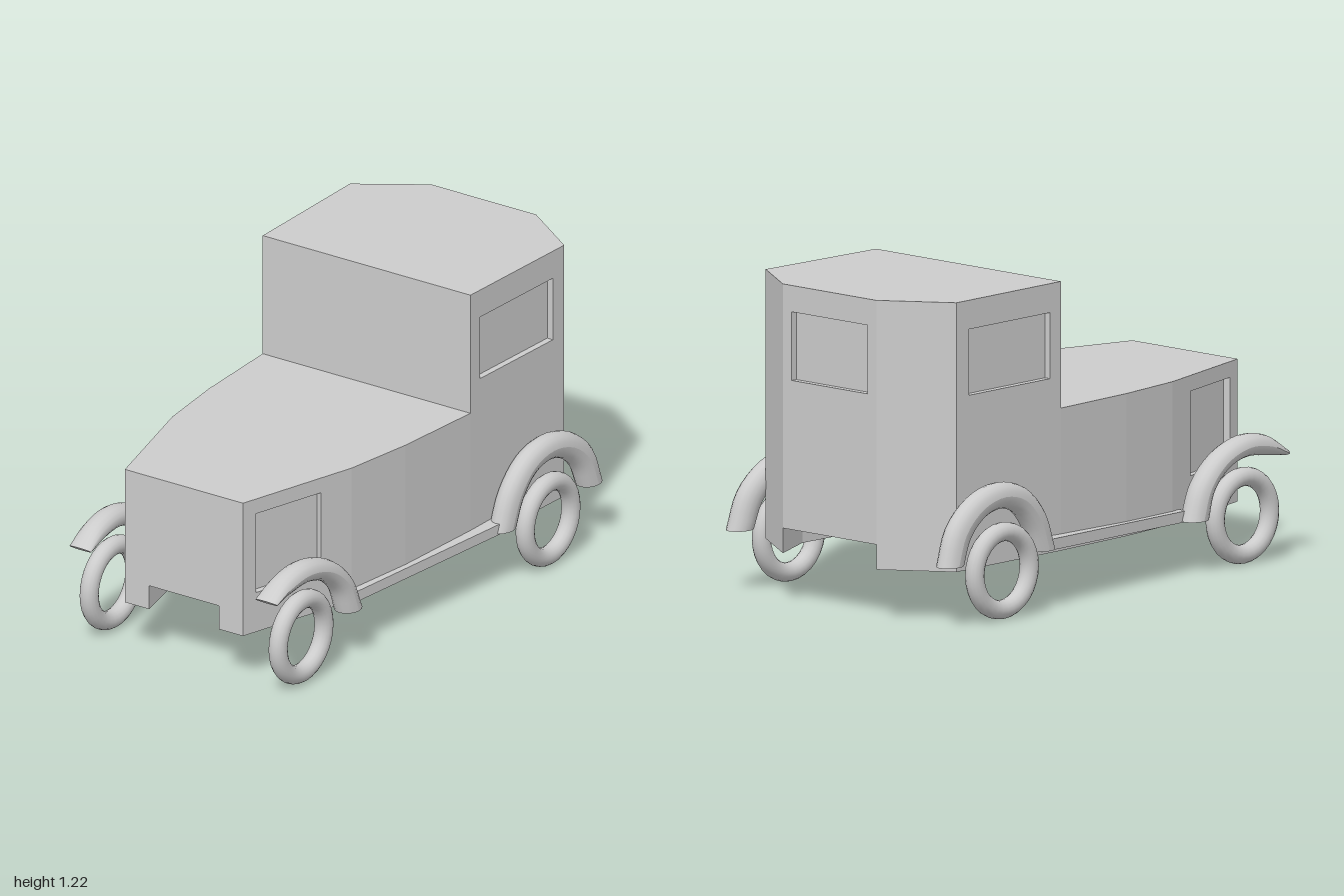
import * as THREE from 'three';

const grey = new THREE.MeshStandardMaterial({ color: 0xcccccc });
const FLOOR = 0.2, TUNNEL = 0.295, HOOD = 0.74, ROOF = 1.22;

// Half outline of the body in plan [x, z], front to back
const half = [[0.27, 0.92], [0.41, 0.42], [0.45, 0.13], [0.475, -0.25], [0.49, -0.83], [0.24, -1]];
// Inner edge of the skirts under the floor
const inner = [[0.16, 0.92], [0.28, 0.42], [0.32, 0.13], [0.33, -0.25], [0.33, -0.8], [0.24, -1]];

const mirror = (pts) => pts.map(([x, z]) => [-x, z]).reverse();
const ring = (pts) => [...pts, ...mirror(pts)];
const shapeOf = (pts) => new THREE.Shape(pts.map(([x, y]) => new THREE.Vector2(x, y)));

function add(parent, name, geometry) {
  const mesh = new THREE.Mesh(geometry, grey);
  mesh.name = name;
  parent.add(mesh);
  return mesh;
}

// Horizontal plate from plan points, facing up or down
function plate(parent, name, pts, y, up) {
  const geo = new THREE.ShapeGeometry(shapeOf(pts.map(([x, z]) => [x, up ? -z : z])));
  geo.rotateX(up ? -Math.PI / 2 : Math.PI / 2);
  add(parent, name, geo).position.y = y;
}

// Upright panel from plan point a to b (left to right seen from outside),
// with an optional recessed window [u0, u1, y0, y1]
function panel(parent, name, a, b, outline, win) {
  const g = new THREE.Group();
  g.name = name;
  g.position.set(a[0], 0, a[1]);
  g.rotation.y = Math.atan2(-(b[1] - a[1]), b[0] - a[0]);
  parent.add(g);
  const shape = shapeOf(outline);
  if (win) {
    const [u0, u1, y0, y1] = win, depth = 0.026;
    shape.holes.push(new THREE.Path([[u0, y0], [u0, y1], [u1, y1], [u1, y0]].map((p) => new THREE.Vector2(...p))));
    // Inside-out box without its outer face
    const box = new THREE.BoxGeometry(u1 - u0, y1 - y0, depth);
    box.setIndex([...box.index.array].filter((v, i) => i < 24 || i >= 30));
    box.scale(-1, 1, 1);
    box.computeVertexNormals();
    box.translate((u0 + u1) / 2, (y0 + y1) / 2, -depth / 2);
    add(g, 'windowRecess', box);
  }
  add(g, name + 'Skin', new THREE.ShapeGeometry(shape));
}

const rect = (w, y0, y1) => [[0, y0], [w, y0], [w, y1], [0, y1]];

function createBody() {
  const body = new THREE.Group();
  body.name = 'body';
  const pts = ring(half), n = pts.length;
  // Side panels all the way round; index 5 is the rear panel
  for (let i = 0; i < n - 1; i++) {
    const a = pts[i], b = pts[i + 1];
    const w = Math.hypot(b[0] - a[0], b[1] - a[1]);
    const k = i < 5 ? i : 10 - i;
    const flip = i > 5;
    let win = null;
    if (k === 0) win = [0.063, 0.374, 0.36, 0.68];
    if (k === 3) win = [0.06, 0.51, 0.86, 1.11];
    if (k === 5) win = [0.045, w - 0.045, 0.86, 1.12];
    if (win && flip) win = [w - win[1], w - win[0], win[2], win[3]];
    const name = k === 5 ? 'rearPanel' : k < 3 ? 'hoodSide' : 'cabinSide';
    panel(body, name, a, b, rect(w, k === 5 ? TUNNEL : FLOOR, k < 3 ? HOOD : ROOF), win);
  }
  // Front panel with a notch below
  panel(body, 'frontPanel', [-0.27, 0.92], [0.27, 0.92],
    [[0, FLOOR], [0.11, FLOOR], [0.11, TUNNEL], [0.43, TUNNEL], [0.43, FLOOR], [0.54, FLOOR], [0.54, HOOD], [0, HOOD]]);
  panel(body, 'cabinFront', [-0.475, -0.25], [0.475, -0.25], rect(0.95, HOOD, ROOF));
  plate(body, 'hoodTop', ring(half.slice(0, 4)), HOOD, true);
  plate(body, 'roof', ring(half.slice(3)), ROOF, true);
  plate(body, 'tunnelCeiling', ring(inner), TUNNEL, false);
  // Skirt undersides and inner walls
  const skirt = [...half, ...[...inner].reverse().slice(1)];
  plate(body, 'skirtBottom', skirt, FLOOR, false);
  plate(body, 'skirtBottom', mirror(skirt), FLOOR, false);
  for (const edge of [[...inner].reverse(), inner.map(([x, z]) => [-x, z])])
    for (let i = 0; i < edge.length - 1; i++) {
      const a = edge[i], b = edge[i + 1];
      panel(body, 'skirtInnerWall', a, b, rect(Math.hypot(b[0] - a[0], b[1] - a[1]), FLOOR, TUNNEL));
    }
  return body;
}

// Solid mudguard: oval sections spanning an outer and an inner [z, y] curve
function fenderGeometry(outer, under, x0, x1, halfWidth) {
  const curve = (pts) => new THREE.CatmullRomCurve3(pts.map(([z, y]) => new THREE.Vector3(0, y, z)));
  const co = curve(outer), ci = curve(under), rows = 24, sides = 16;
  const stations = [[0, 0], [0, 1]];
  for (let i = 0; i <= rows; i++) stations.push([i / rows, 1]);
  stations.push([1, 1], [1, 0]);
  const pos = [], idx = [];
  stations.forEach(([t, s], r) => {
    const o = co.getPoint(t), q = ci.getPoint(t);
    const c = o.clone().add(q).multiplyScalar(0.5), d = o.sub(q).multiplyScalar(0.5);
    for (let j = 0; j <= sides; j++) {
      const a = (j / sides) * Math.PI * 2, sn = Math.sin(a) * s;
      pos.push(x0 + (x1 - x0) * t + Math.cos(a) * halfWidth * s, c.y + d.y * sn, c.z + d.z * sn);
      // Rows 1-2 and the matching pair at the end coincide, keeping the cap edges sharp
      if (j < sides && r < stations.length - 1 && r !== 1 && r !== stations.length - 3) {
        const p = r * (sides + 1) + j, m = p + sides + 1;
        idx.push(p, m, p + 1, p + 1, m, m + 1);
      }
    }
  });
  const geo = new THREE.BufferGeometry();
  geo.setAttribute('position', new THREE.Float32BufferAttribute(pos, 3));
  geo.setIndex(idx);
  geo.computeVertexNormals();
  return geo;
}

function createSide() {
  const side = new THREE.Group();
  // Tyres
  for (const [name, x, z] of [['frontWheel', 0.432, 0.775], ['rearWheel', 0.548, -0.645]]) {
    const geo = new THREE.TorusGeometry(0.147, 0.036, 16, 32);
    geo.rotateY(Math.PI / 2);
    add(side, name, geo).position.set(x, 0.188, z);
  }
  // Mudguards
  add(side, 'frontFender', fenderGeometry(
    [[1.0, 0.41], [0.9, 0.475], [0.77, 0.495], [0.62, 0.45], [0.5, 0.345], [0.44, 0.21]],
    [[0.975, 0.39], [0.89, 0.4], [0.78, 0.41], [0.67, 0.38], [0.59, 0.31], [0.555, 0.21]],
    0.425, 0.45, 0.05));
  add(side, 'rearFender', fenderGeometry(
    [[-0.34, 0.23], [-0.4, 0.38], [-0.51, 0.485], [-0.65, 0.52], [-0.8, 0.485], [-0.92, 0.385], [-0.975, 0.24]],
    [[-0.46, 0.23], [-0.495, 0.32], [-0.56, 0.395], [-0.65, 0.42], [-0.745, 0.395], [-0.82, 0.33], [-0.86, 0.24]],
    0.515, 0.54, 0.047));
  // Running board, rising gently to the rear
  const board = new THREE.ExtrudeGeometry(
    shapeOf([[0.39, -0.47], [0.435, -0.47], [0.54, 0.42], [0.46, 0.42]]), { depth: 0.042, bevelEnabled: false });
  board.rotateX(-Math.PI / 2);
  const p = board.attributes.position;
  for (let i = 0; i < p.count; i++) p.setY(i, p.getY(i) + 0.216 - 0.022 * p.getZ(i));
  board.computeVertexNormals();
  add(side, 'runningBoard', board);
  return side;
}

export function createModel() {
  const model = new THREE.Group();
  model.name = 'vintageCar';
  model.add(createBody());
  const left = createSide(), right = createSide();
  left.name = 'leftSide';
  right.name = 'rightSide';
  right.scale.x = -1;
  model.add(left, right);
  return model;
}
